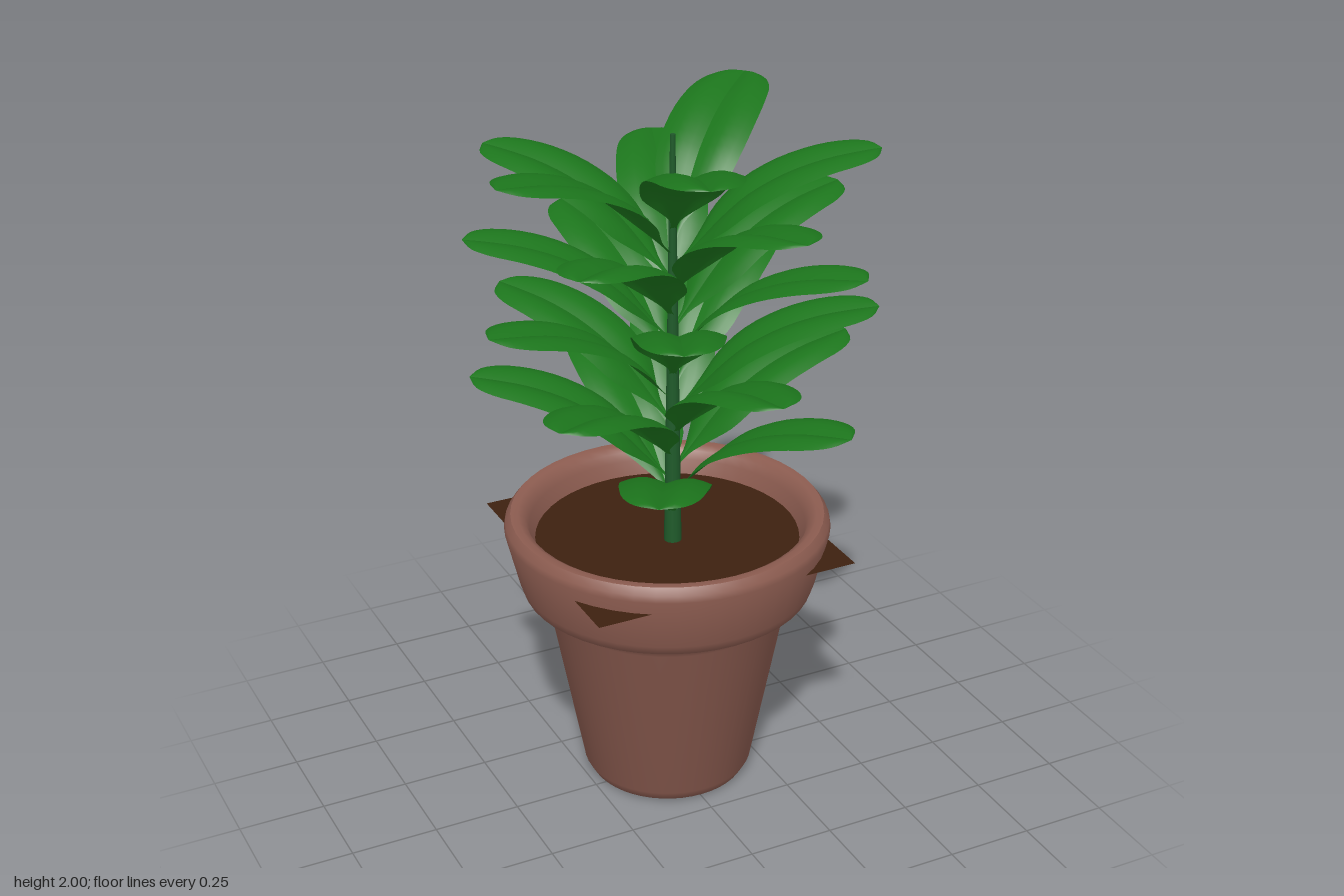
import * as THREE from 'three';
import { mergeGeometries, toCreasedNormals } from 'three/addons/utils/BufferGeometryUtils.js';

const paint = (color, side = THREE.FrontSide) => new THREE.MeshStandardMaterial({ color, side });

function part(name, geometry, material, x = 0, y = 0, z = 0) {
  const mesh = new THREE.Mesh(geometry, material);
  mesh.name = name;
  mesh.position.set(x, y, z);
  return mesh;
}

// Leaf along +x; each point is (distance out, height, half width)
function leafGeometry() {
  const spine = new THREE.CatmullRomCurve3([
    [0, 0, 0.008], [0.04, 0.042, 0.014], [0.08, 0.085, 0.05], [0.13, 0.138, 0.1],
    [0.2, 0.198, 0.118], [0.3, 0.252, 0.122], [0.4, 0.285, 0.115], [0.48, 0.3, 0.098],
    [0.53, 0.307, 0.064], [0.555, 0.31, 0.002],
  ].map((p) => new THREE.Vector3(...p)));
  // Two softly arched halves meet in a crease along the midrib
  const halves = [0.5, -0.5].map((shift) => {
    const g = new THREE.PlaneGeometry(1, 1, 27, 5);
    const pos = g.attributes.position;
    for (let i = 0; i < pos.count; i++) {
      const v = pos.getY(i) + shift;
      const p = spine.getPoint(THREE.MathUtils.clamp(pos.getX(i) + 0.5, 0, 1));
      pos.setXYZ(i, p.x, p.y + 0.14 * p.z * Math.sin(Math.PI * Math.abs(v)), -v * p.z);
    }
    g.computeVertexNormals();
    return g;
  });
  return mergeGeometries(halves);
}

export function createModel() {
  const model = new THREE.Group();
  const potZ = -0.035;

  // Pot: outer wall, collar, lip and hollow inside in one profile
  const profile = [
    [0, 0], [0.2, 0], [0.228, 0.01], [0.245, 0.04], [0.342, 0.56], [0.355, 0.585],
    [0.385, 0.597], [0.412, 0.613], [0.422, 0.64], [0.461, 0.8], [0.457, 0.818],
    [0.442, 0.838], [0.42, 0.838], [0.4, 0.825], [0.39, 0.8], [0.37, 0.75],
    [0.345, 0.62], [0.32, 0.57], [0.225, 0.05], [0, 0.05],
  ].map((p) => new THREE.Vector2(...p));
  model.add(part('pot', toCreasedNormals(new THREE.LatheGeometry(profile, 48), 0.75),
    paint(0x8c5c50), 0, 0, potZ));

  // Square sheet of soil whose corners pass through the pot wall
  const soil = new THREE.PlaneGeometry(0.78, 0.78).rotateX(-Math.PI / 2);
  model.add(part('soil', soil, paint(0x3d200f, THREE.DoubleSide), 0, 0.76, -0.04));

  // Tapered stem
  model.add(part('stem', new THREE.CylinderGeometry(0.007, 0.025, 1.21, 12), paint(0x1f5a2a), 0, 1.35, 0));

  // Leaves spiral evenly up the stem
  const leaves = new THREE.Group();
  leaves.name = 'leaves';
  const geometry = leafGeometry();
  const green = paint(0x1c751c, THREE.DoubleSide);
  const count = 25;
  for (let i = 0; i < count; i++) {
    const leaf = part('leaf', geometry, green, 0, 1.688 - i * 0.0354, 0);
    leaf.rotation.y = THREE.MathUtils.degToRad(253 + i * 149.46);
    leaves.add(leaf);
  }
  model.add(leaves);
  return model;
}
